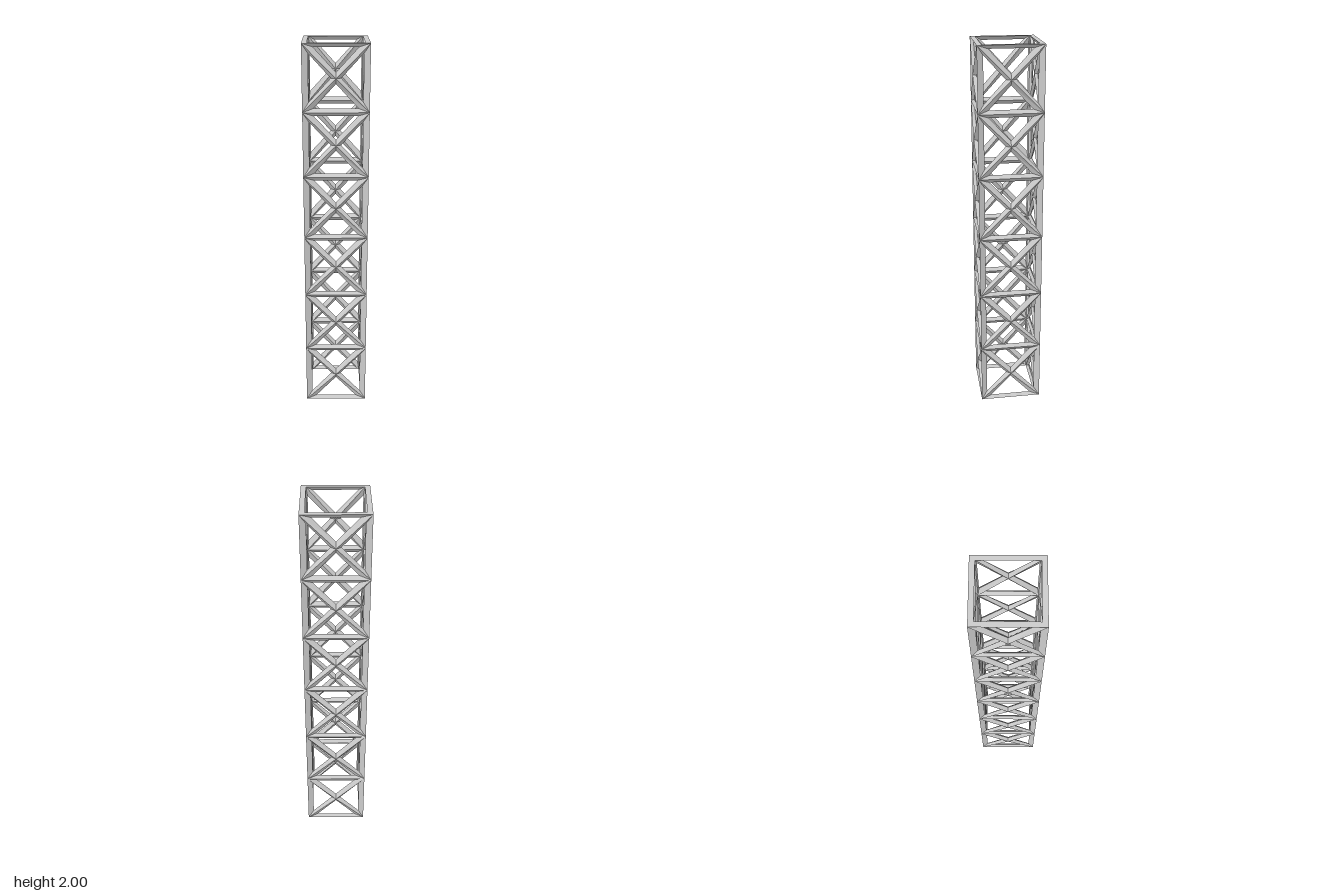
import * as THREE from 'three';

const BAYS = 6, HEIGHT = 2, STEP = HEIGHT / BAYS;
const MID = 0.154;        // half width to the centre line of the bars
const OUT = 0.1667;       // outer ridge at the corner nodes
const IN = 0.1412;        // inner ridge
const BULGE = 0.1723;     // outer ridge where the braces cross
const HALF_BAR = 0.019;   // half width of a bar within the lattice plane

const v = (x, y, z) => new THREE.Vector3(x, y, z);

// A node has a centre point, an outer ridge point and an inner ridge point
const cornerNode = (s, y) => ({ mid: v(s * MID, y, MID), out: v(s * OUT, y, OUT), inn: v(s * IN, y, IN) });
const crossNode = (y) => ({ mid: v(0, y, MID), out: v(0, y, BULGE), inn: v(0, y, IN) });

function addQuad(list, a, b, c, d) {
  for (const p of [a, b, c, a, c, d]) list.push(p.x, p.y, p.z);
}

// Corners of the triangular opening, set in evenly from the three bar centre lines
function openingCorners([A, B, C]) {
  const a = B.distanceTo(C), b = C.distanceTo(A), c = A.distanceTo(B), sum = a + b + c;
  const centre = v(0, 0, 0).addScaledVector(A, a / sum).addScaledVector(B, b / sum).addScaledVector(C, c / sum);
  const area = B.clone().sub(A).cross(C.clone().sub(A)).length() / 2;
  const t = HALF_BAR * sum / (2 * area);
  return [A, B, C].map((p) => p.clone().lerp(centre, t));
}

// One side of the tower, facing +z: half of every bar around each opening
function sideParts() {
  const parts = { cornerPosts: [], horizontalRails: [], diagonalBraces: [] };
  for (let i = 0; i < BAYS; i++) {
    const y0 = i * STEP, y1 = y0 + STEP;
    const ring = [cornerNode(-1, y0), cornerNode(1, y0), cornerNode(1, y1), cornerNode(-1, y1)];
    const cross = crossNode((y0 + y1) / 2);
    for (let k = 0; k < 4; k++) {
      const tri = [ring[k], ring[(k + 1) % 4], cross];
      const hole = openingCorners(tri.map((n) => n.mid));
      for (let e = 0; e < 3; e++) {
        const f = (e + 1) % 3, A = tri[e], B = tri[f];
        const list = e > 0 ? parts.diagonalBraces : k % 2 ? parts.cornerPosts : parts.horizontalRails;
        addQuad(list, A.out, B.out, hole[f], hole[e]);
        addQuad(list, B.inn, A.inn, hole[e], hole[f]);
        // Flat face on the end rails
        const isEnd = e === 0 && ((k === 0 && i === 0) || (k === 2 && i === BAYS - 1));
        if (isEnd) addQuad(list, A.out, A.inn, B.inn, B.out);
      }
    }
  }
  return parts;
}

export function createModel() {
  const tower = new THREE.Group();
  tower.name = 'latticeTower';
  const material = new THREE.MeshStandardMaterial({ color: 0xcccccc, flatShading: true });

  const geometries = Object.entries(sideParts()).map(([name, positions]) => {
    const geometry = new THREE.BufferGeometry();
    geometry.setAttribute('position', new THREE.Float32BufferAttribute(positions, 3));
    geometry.computeVertexNormals();
    return [name, geometry];
  });

  // Four identical sides around the vertical axis
  ['frontSide', 'leftSide', 'backSide', 'rightSide'].forEach((sideName, i) => {
    const side = new THREE.Group();
    side.name = sideName;
    side.rotation.y = i * Math.PI / 2;
    for (const [name, geometry] of geometries) {
      const mesh = new THREE.Mesh(geometry, material);
      mesh.name = name;
      side.add(mesh);
    }
    tower.add(side);
  });
  return tower;
}
